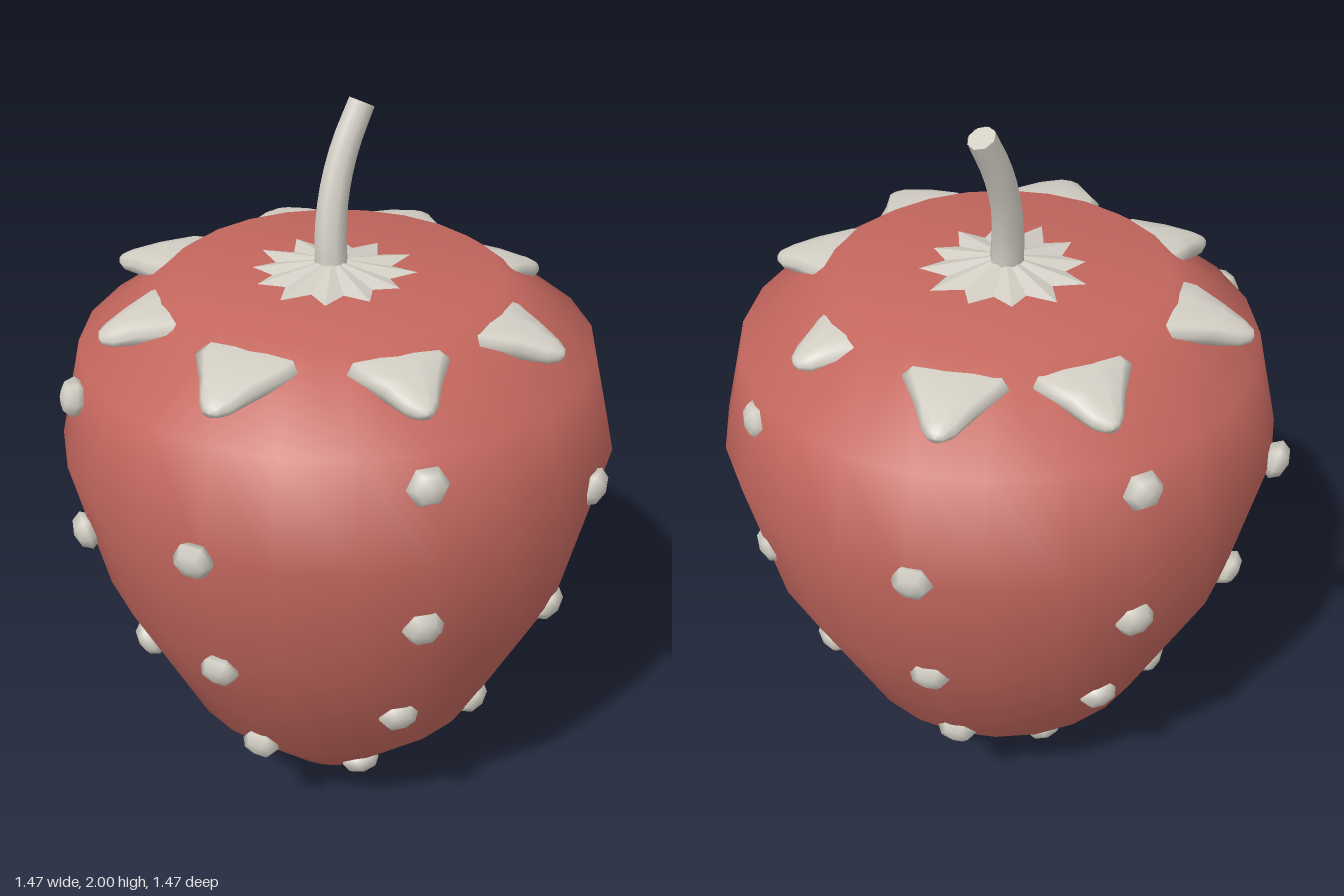
import * as THREE from 'three';

const CX = -0.015; // axis of the fruit

// Radius and height of the fruit from its tip to its flat top
const PROFILE = [[0, 0.005], [0.16, 0.06], [0.432, 0.33], [0.645, 0.75], [0.735, 1.13],
  [0.672, 1.4], [0.425, 1.574], [0, 1.577]];

// Surface radius and slope angle of the fruit at a height
function surfaceAt(y) {
  let i = 1;
  while (PROFILE[i][1] < y) i++;
  const [r0, y0] = PROFILE[i - 1], [r1, y1] = PROFILE[i];
  return { r: r0 + (r1 - r0) * (y - y0) / (y1 - y0), tilt: Math.atan2(r1 - r0, y1 - y0) };
}

// Skin closed rings of equal length into one smooth surface
function loft(rings) {
  const n = rings[0].length, index = [];
  for (let i = 0; i < rings.length - 1; i++) {
    for (let j = 0; j < n; j++) {
      const a = i * n + j, b = i * n + (j + 1) % n;
      index.push(a, b, a + n, b, b + n, a + n);
    }
  }
  const g = new THREE.BufferGeometry();
  g.setAttribute('position', new THREE.Float32BufferAttribute(rings.flat(2), 3));
  g.setIndex(index);
  g.computeVertexNormals();
  return g;
}

// Sepal pointing to +z: flat above, keeled below, rounded at the tip
function sepalGeometry() {
  // distance, half width, top, edge and bottom heights
  const sections = [[0.3, 0.09, 1.55, 1.535, 1.51], [0.4, 0.14, 1.555, 1.533, 1.495],
    [0.47, 0.13, 1.551, 1.53, 1.478], [0.55, 0.075, 1.537, 1.51, 1.464],
    [0.61, 0.042, 1.516, 1.49, 1.464], [0.635, 0.02, 1.502, 1.487, 1.474], [0.64, 0.001, 1.488, 1.487, 1.486]];
  const n = 10;
  return loft(sections.map(([z, w, top, edge, bottom]) => Array.from({ length: n }, (_, j) => {
    const a = j / n * Math.PI * 2, s = Math.sin(a);
    return [w * Math.cos(a), edge + (s > 0 ? (top - edge) * Math.sqrt(s) : (edge - bottom) * s), z];
  })));
}

// Ridged star of small leaf bases around the stem
function starGeometry() {
  const points = 12, pos = [], index = [];
  pos.push(0, 1.612, 0);
  for (let i = 0; i < points * 2; i++) {
    const a = i / (points * 2) * Math.PI * 2 + 0.12;
    const r = i % 2 ? 0.155 : 0.215 + 0.012 * Math.sin(i * 2.3);
    pos.push(r * Math.sin(a), i % 2 ? 1.578 : 1.581, r * Math.cos(a));
    index.push(0, i + 1, (i + 1) % (points * 2) + 1);
  }
  const g = new THREE.BufferGeometry();
  g.setAttribute('position', new THREE.Float32BufferAttribute(pos, 3));
  g.setIndex(index);
  const flat = g.toNonIndexed();
  flat.computeVertexNormals();
  return flat;
}

// Tapered, bent stem
function stemGeometry() {
  const curve = new THREE.CatmullRomCurve3([[CX, 1.57, -0.005], [CX, 1.66, -0.015], [0.002, 1.77, -0.037],
    [0.038, 1.88, -0.06], [0.09, 1.986, -0.08]].map(p => new THREE.Vector3(...p)));
  const steps = 10, sides = 8;
  const g = new THREE.TubeGeometry(curve, steps, 0.045, sides);
  const p = g.attributes.position, v = new THREE.Vector3();
  for (let i = 0; i < p.count; i++) {
    const t = Math.floor(i / (sides + 1)) / steps, c = curve.getPointAt(t);
    v.fromBufferAttribute(p, i).sub(c).multiplyScalar(1 - 0.2 * t).add(c);
    p.setXYZ(i, v.x, v.y, v.z);
  }
  return { g, end: curve.getPointAt(1), dir: curve.getTangentAt(1) };
}

export function createModel() {
  const model = new THREE.Group();
  const red = new THREE.MeshStandardMaterial({ color: 0xc4675e });
  red.name = 'berry red';
  const pale = new THREE.MeshStandardMaterial({ color: 0xd2cec4, side: THREE.DoubleSide });
  pale.name = 'pale grey';
  const add = (name, geometry, material, parent = model) => {
    const mesh = new THREE.Mesh(geometry, material);
    mesh.name = name;
    parent.add(mesh);
    return mesh;
  };

  // Fruit body, slightly fuller on one side
  const bodyGeo = new THREE.LatheGeometry(PROFILE.map(p => new THREE.Vector2(...p)), 24);
  const bp = bodyGeo.attributes.position;
  for (let i = 0; i < bp.count; i++) {
    bp.setX(i, bp.getX(i) + 0.02 * Math.hypot(bp.getX(i), bp.getZ(i)));
  }
  add('fruitBody', bodyGeo, red).position.x = CX;

  // Seeds in staggered rows of four
  const seeds = new THREE.Group();
  seeds.name = 'seeds';
  seeds.position.x = CX;
  model.add(seeds);
  const seedGeo = new THREE.SphereGeometry(1, 6, 4).rotateX(Math.PI / 2).scale(0.055, 0.052, 0.035);
  [0.15, 0.54, 0.93, 1.33, 0.35, 0.74, 1.13].forEach((y, row) => {
    const { r, tilt } = surfaceAt(y);
    for (let k = 0; k < 4; k++) {
      const a = (k + (row > 3 ? 0.5 : 0)) * Math.PI / 2;
      const seed = add('seed', seedGeo, pale, seeds);
      seed.position.set(r * Math.sin(a), y, r * Math.cos(a));
      seed.rotation.set(tilt, a, 0, 'YXZ');
    }
  });

  // Ring of sepals, each with its own heading (degrees) and length
  const calyx = new THREE.Group();
  calyx.name = 'calyx';
  calyx.position.x = CX;
  model.add(calyx);
  const sepalGeo = sepalGeometry();
  [[1, 0.64], [43, 0.64], [94, 0.6], [138, 0.645], [175, 0.635], [225, 0.645], [271, 0.615], [316, 0.655]]
    .forEach(([deg, length]) => {
      const sepal = add('sepal', sepalGeo, pale, calyx);
      sepal.rotation.y = deg * Math.PI / 180;
      sepal.scale.z = length / 0.64;
    });
  add('calyxStar', starGeometry(), pale, calyx);

  // Stem and its cut end
  const { g, end, dir } = stemGeometry();
  add('stem', g, pale);
  const cap = add('stemEnd', new THREE.CircleGeometry(0.036, 8), pale);
  cap.position.copy(end);
  cap.quaternion.setFromUnitVectors(new THREE.Vector3(0, 0, 1), dir);

  return model;
}
